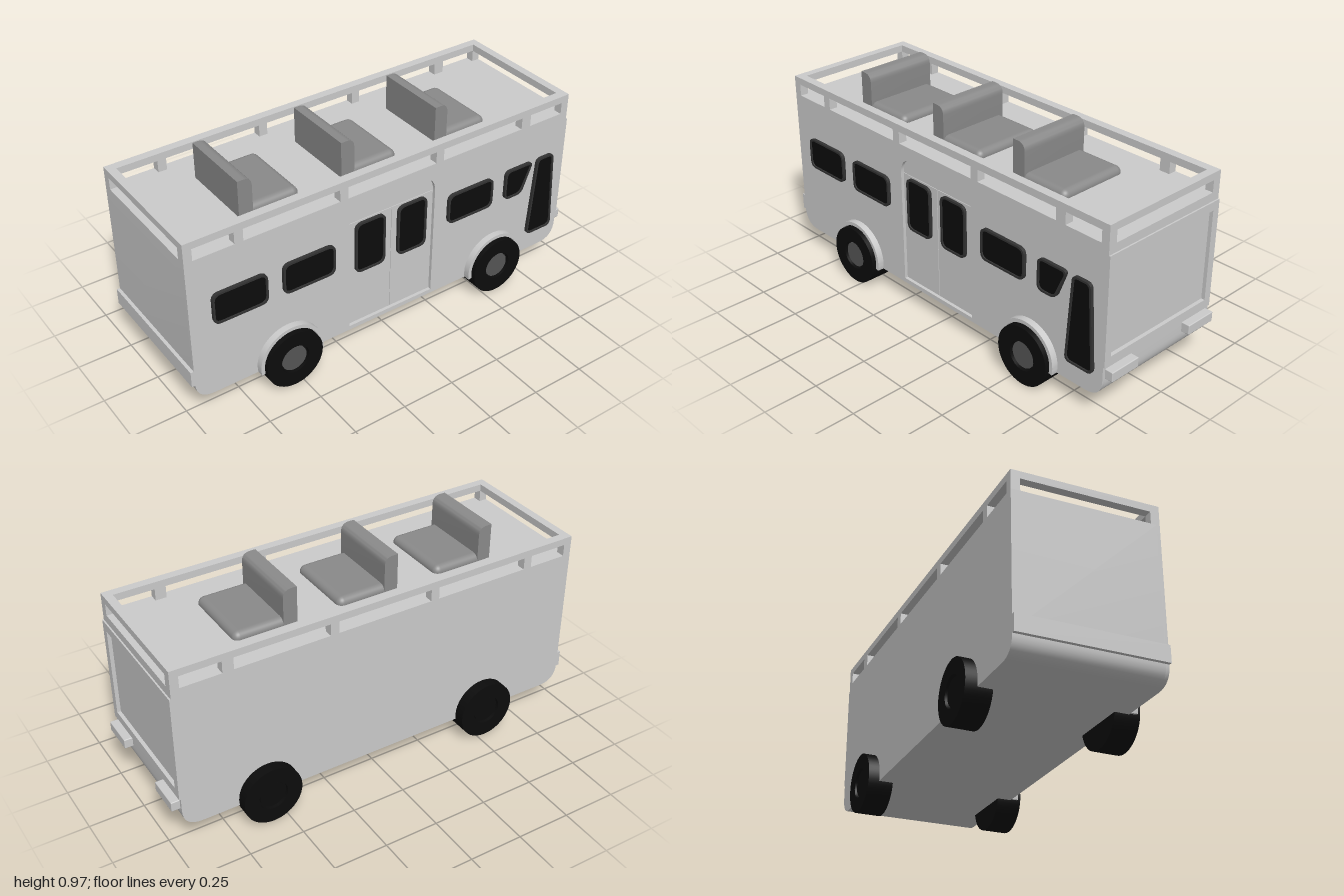
import * as THREE from 'three';
import { toCreasedNormals } from 'three/addons/utils/BufferGeometryUtils.js';
import { RoundedBoxGeometry } from 'three/addons/geometries/RoundedBoxGeometry.js';

const mat = (color) => new THREE.MeshStandardMaterial({ color });
const GREY = mat(0xcccccc), SEAT = mat(0x8a8a8a), BLACK = mat(0x0c0c0c), FRAME = mat(0x333333), HUB = mat(0x555555);

export function createModel() {
  const bus = new THREE.Group();

  const add = (name, geo, material = GREY, parent = bus) => {
    const mesh = new THREE.Mesh(geo, material);
    mesh.name = name;
    parent.add(mesh);
    return mesh;
  };
  // Box given by its minimum and maximum on each axis
  const box = (name, x0, x1, y0, y1, z0, z1, material, parent) => {
    const m = add(name, new THREE.BoxGeometry(x1 - x0, y1 - y0, z1 - z0), material, parent);
    m.position.set((x0 + x1) / 2, (y0 + y1) / 2, (z0 + z1) / 2);
    return m;
  };
  // Shape in x/y extruded from z0 to z1
  const slab = (shape, z0, z1) => {
    const geo = new THREE.ExtrudeGeometry(shape, { depth: z1 - z0, bevelEnabled: false, curveSegments: 8 });
    geo.translate(0, 0, z0);
    return toCreasedNormals(geo, 0.6);
  };
  // Polygon with rounded corners; each corner is [x, y, radius]
  const rounded = (corners, Type = THREE.Shape) => {
    const path = new Type();
    const n = corners.length;
    corners.forEach(([x, y, r = 0], i) => {
      const p = new THREE.Vector2(x, y);
      const toward = (c) => new THREE.Vector2(c[0], c[1]).sub(p).setLength(r).add(p);
      const a = toward(corners[(i + n - 1) % n]), b = toward(corners[(i + 1) % n]);
      if (i === 0) path.moveTo(a.x, a.y); else path.lineTo(a.x, a.y);
      if (r > 0) path.quadraticCurveTo(x, y, b.x, b.y);
    });
    path.closePath();
    return path;
  };
  const rect = (x0, x1, y0, y1, r) => [[x0, y0, r], [x1, y0, r], [x1, y1, r], [x0, y1, r]];

  // Body: solid core with a shallow notch for the front panel
  const BACK = -0.985, FRONT = 0.96, DECK = 0.8, TOP = 0.888, SIDE = 0.325;
  add('body', slab(rounded([
    [BACK, 0.11, 0.09], [FRONT, 0.11, 0.09], [FRONT, 0.26], [0.95, 0.26],
    [0.95, 0.76], [FRONT, 0.76], [FRONT, DECK], [BACK, DECK],
  ]), -SIDE, 0.31));

  // Side wall with the doorway cut out
  const wall = rounded([[BACK, 0.11, 0.09], [FRONT, 0.11, 0.09], [FRONT, DECK], [BACK, DECK]]);
  const door = [[-0.23, 0.13], [0.215, 0.13], [0.215, 0.74, 0.08], [-0.23, 0.74, 0.08]];
  wall.holes.push(rounded(door, THREE.Path));
  add('sideWall', slab(wall, 0.31, SIDE));
  for (const [x0, x1] of [[-0.225, -0.01], [-0.006, 0.21]]) box('doorLeaf', x0, x1, 0.135, 0.66, 0.305, 0.313);

  // Front panel: raised frame around a recessed field
  const panel = rounded(rect(-SIDE, SIDE, 0.26, 0.76, 0));
  panel.holes.push(rounded(rect(-0.29, 0.29, 0.3, 0.72, 0), THREE.Path));
  const panelGeo = slab(panel, 0, 0.019);
  panelGeo.rotateY(Math.PI / 2);
  add('frontPanel', panelGeo).position.x = 0.948;

  // Bumper and headlights
  box('rearBumper', -1, BACK + 0.01, 0.19, 0.265, -SIDE, SIDE);
  for (const s of [-1, 1]) {
    const lamp = add('headlight', new RoundedBoxGeometry(0.045, 0.046, 0.155, 2, 0.004));
    lamp.position.set(0.976, 0.225, s * 0.234);
  }

  // Open railing round the upper deck
  const railing = new THREE.Group();
  railing.name = 'railing';
  bus.add(railing);
  const posts = [[BACK, -0.947], [-0.765, -0.725], [-0.275, -0.235], [0.215, 0.255], [0.69, 0.74], [0.922, FRONT]];
  for (const s of [-1, 1]) {
    const z0 = s > 0 ? 0.285 : -SIDE, z1 = z0 + 0.04;
    box('sideRail', BACK, FRONT, 0.855, TOP, z0, z1, GREY, railing);
    for (const [x0, x1] of posts) box('post', x0, x1, DECK, 0.855, z0, z1, GREY, railing);
  }
  for (const [x0, x1] of [[BACK, -0.947], [0.922, FRONT]]) box('endRail', x0, x1, 0.855, TOP, -0.285, 0.285, GREY, railing);

  // Deck seats
  for (const x of [-0.66, -0.172, 0.315]) {
    const seat = new THREE.Group();
    seat.name = 'seat';
    seat.position.x = x;
    bus.add(seat);
    add('backrest', slab(rounded([[0, 0.79], [0.065, 0.79], [0.065, 0.967, 0.04], [0, 0.967]]), -0.163, 0.185), SEAT, seat);
    const cushion = add('cushion', new RoundedBoxGeometry(0.285, 0.1, 0.348, 4, 0.03), SEAT, seat);
    cushion.position.set(0.1455, 0.782, 0.011);
  }

  // Windows: dark raised frame with a black pane set in it
  const addWindow = (corners, z) => {
    const cx = corners.reduce((s, c) => s + c[0], 0) / corners.length;
    const cy = corners.reduce((s, c) => s + c[1], 0) / corners.length;
    const inset = corners.map(([x, y, r]) => [x - Math.sign(x - cx) * 0.009, y - Math.sign(y - cy) * 0.009, r * 0.85]);
    const frame = rounded(corners);
    frame.holes.push(rounded(inset, THREE.Path));
    add('windowFrame', slab(frame, z - 0.005, z + 0.015), FRAME);
    add('windowPane', slab(rounded(inset), z - 0.005, z + 0.009), BLACK);
  };
  for (const x of [-0.885, -0.56, 0.285]) addWindow(rect(x, x + 0.252, 0.463, 0.612, 0.035), SIDE);
  addWindow([[0.61, 0.463, 0.03], [0.71, 0.463, 0.03], [0.768, 0.612, 0.025], [0.61, 0.612, 0.03]], SIDE);
  addWindow([[0.768, 0.207, 0.03], [0.918, 0.207, 0.03], [0.892, 0.612, 0.025], [0.796, 0.612, 0.025]], SIDE);
  for (const x of [-0.197, 0.022]) addWindow(rect(x, x + 0.153, 0.4, 0.652, 0.035), 0.311);

  // Wheels, and arches on the door side
  const tyreProfile = [[0, -0.0575], [0.137, -0.0575], [0.137, 0.0575], [0.068, 0.0575], [0.068, 0.04], [0, 0.04]]
    .map(([r, y]) => new THREE.Vector2(r, y));
  const tyreGeo = toCreasedNormals(new THREE.LatheGeometry(tyreProfile, 40), 0.6);
  const hubGeo = new THREE.CylinderGeometry(0.06, 0.06, 0.02, 32);
  const a = 0.195;
  const arch = new THREE.Shape();
  arch.absarc(0, 0, 0.155, -a, Math.PI + a, false);
  arch.absarc(0, 0, 0.138, Math.PI + a, -a, true);
  arch.closePath();
  for (const x of [-0.54, 0.567]) {
    for (const s of [-1, 1]) {
      const wheel = new THREE.Group();
      wheel.name = 'wheel';
      wheel.position.set(x, 0.137, s * 0.3175);
      wheel.rotation.x = s * Math.PI / 2;
      bus.add(wheel);
      add('tyre', tyreGeo, BLACK, wheel);
      add('hub', hubGeo, s > 0 ? HUB : BLACK, wheel).position.y = 0.039;
    }
    const archGeo = new THREE.ExtrudeGeometry(arch, { depth: 0.035, bevelEnabled: false, curveSegments: 24 });
    add('wheelArch', toCreasedNormals(archGeo, 0.6)).position.set(x, 0.14, 0.32);
  }
  return bus;
}
